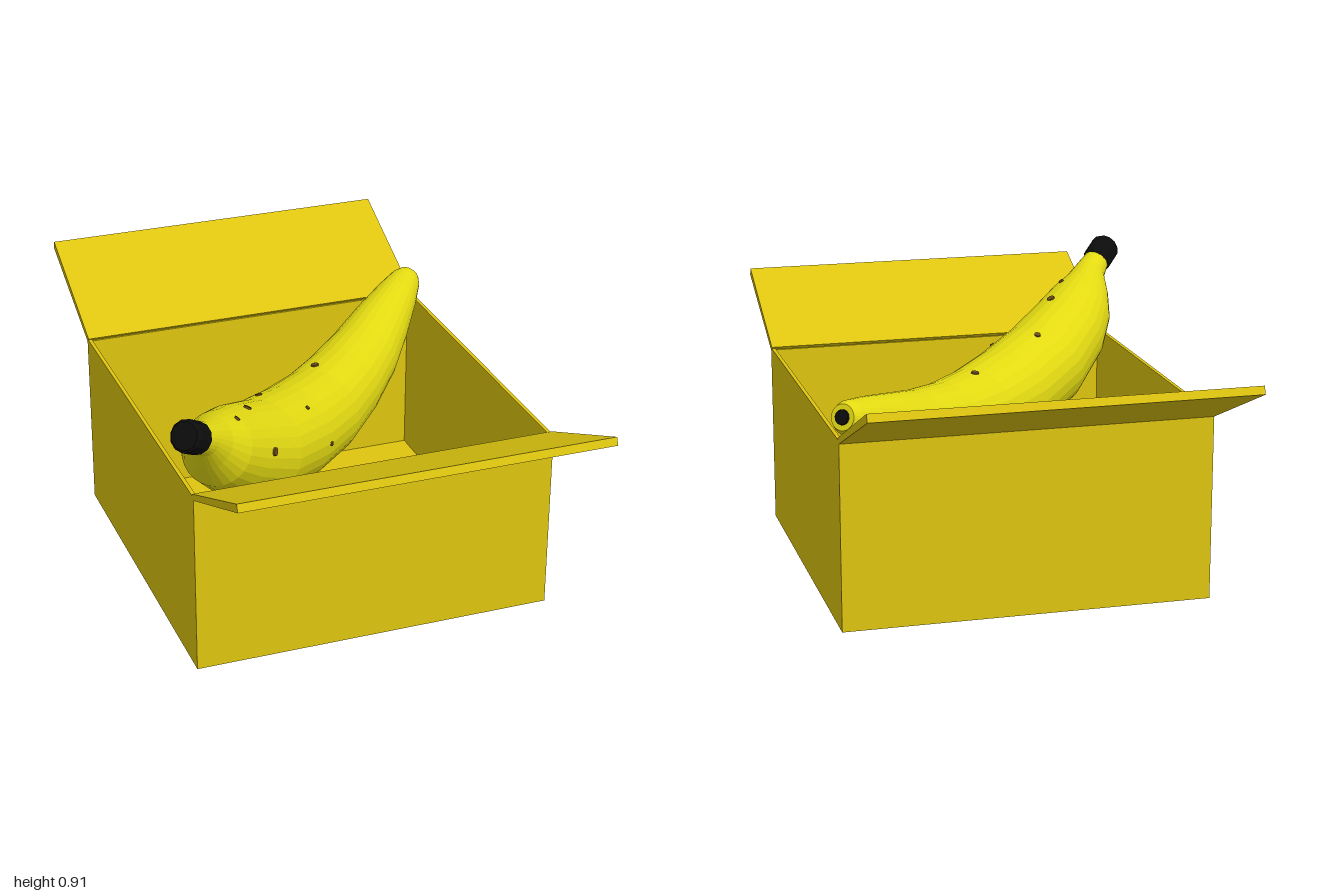
import * as THREE from 'three';

const mat = (name, color) => {
  const m = new THREE.MeshStandardMaterial({ color });
  m.name = name;
  return m;
};

// Faceted tube through rings [x, y, z, radius], closed at both ends
const SIDE = new THREE.Vector3(1, 0, 1).normalize();

function ringFrames(rings) {
  const c = rings.map(r => new THREE.Vector3(r[0], r[1], r[2]));
  return rings.map((r, i) => {
    const t = c[Math.min(i + 1, c.length - 1)].clone().sub(c[Math.max(i - 1, 0)]).normalize();
    return { center: c[i], radius: r[3], up: SIDE.clone().cross(t).normalize() };
  });
}

const radial = (f, a) =>
  SIDE.clone().multiplyScalar(Math.cos(a)).addScaledVector(f.up, Math.sin(a));
const surfacePoint = (f, a) => radial(f, a).multiplyScalar(f.radius).add(f.center);

function loft(frames, sides) {
  const pos = [];
  const tri = (...pts) => pts.forEach(p => pos.push(p.x, p.y, p.z));
  const first = frames[0], last = frames[frames.length - 1];
  for (let j = 0; j < sides; j++) {
    const a0 = (j / sides) * Math.PI * 2, a1 = ((j + 1) / sides) * Math.PI * 2;
    for (let i = 0; i < frames.length - 1; i++) {
      const a = surfacePoint(frames[i], a0), b = surfacePoint(frames[i + 1], a0);
      const c = surfacePoint(frames[i], a1), d = surfacePoint(frames[i + 1], a1);
      tri(a, b, c);
      tri(b, d, c);
    }
    tri(first.center, surfacePoint(first, a0), surfacePoint(first, a1));
    tri(last.center, surfacePoint(last, a1), surfacePoint(last, a0));
  }
  const g = new THREE.BufferGeometry();
  g.setAttribute('position', new THREE.Float32BufferAttribute(pos, 3));
  g.computeVertexNormals();
  return g;
}

export function createModel() {
  const cardboard = mat('box yellow', 0xdec50f);
  const peel = mat('banana yellow', 0xe3da12);
  const black = mat('stem black', 0x0c0c0c);
  const brown = mat('spot brown', 0x6b4a1a);

  const model = new THREE.Group();
  const add = (parent, name, geometry, material, x = 0, y = 0, z = 0) => {
    const m = new THREE.Mesh(geometry, material);
    m.name = name;
    m.position.set(x, y, z);
    parent.add(m);
    return m;
  };

  // Open box, slightly off centre in x
  const box = new THREE.Group();
  box.name = 'openBox';
  box.position.x = 0.035;
  model.add(box);
  const W = 1.17, D = 1.17, H = 0.6, T = 0.012;
  add(box, 'floor', new THREE.BoxGeometry(W, T, D), cardboard, 0, T / 2, 0);

  // Hinged flap cross-section, in z and y
  const flapShape = new THREE.Shape([
    new THREE.Vector2(0.57, 0.605), new THREE.Vector2(0.585, 0.59),
    new THREE.Vector2(1.0, 0.768), new THREE.Vector2(0.99, 0.792),
  ]);
  const flapGeo = new THREE.ExtrudeGeometry(flapShape, { depth: W, bevelEnabled: false });
  flapGeo.translate(0, 0, -W / 2);
  flapGeo.rotateY(-Math.PI / 2);

  for (const s of [1, -1]) {
    add(box, s > 0 ? 'leftWall' : 'rightWall',
      new THREE.BoxGeometry(T, H - T, D), cardboard, s * (W - T) / 2, (H + T) / 2, 0);
    add(box, s > 0 ? 'frontWall' : 'backWall',
      new THREE.BoxGeometry(W - 2 * T, H - T - 0.005, T), cardboard, 0, (H + T - 0.005) / 2, s * (D - T) / 2);
    const flap = add(box, s > 0 ? 'frontFlap' : 'backFlap', flapGeo, cardboard);
    if (s < 0) flap.rotation.y = Math.PI;
  }

  // Banana lying across the box diagonal
  const banana = new THREE.Group();
  banana.name = 'banana';
  model.add(banana);
  const frames = ringFrames([
    [-0.56, 0.833, 0.65, 0.042],
    [-0.52, 0.80, 0.605, 0.052],
    [-0.49, 0.755, 0.55, 0.08],
    [-0.445, 0.70, 0.49, 0.115],
    [-0.375, 0.64, 0.405, 0.138],
    [-0.25, 0.56, 0.285, 0.155],
    [-0.09, 0.51, 0.13, 0.157],
    [0.06, 0.49, -0.015, 0.15],
    [0.20, 0.50, -0.155, 0.137],
    [0.33, 0.535, -0.285, 0.12],
    [0.43, 0.58, -0.39, 0.10],
    [0.53, 0.63, -0.49, 0.073],
    [0.585, 0.658, -0.545, 0.053],
    [0.603, 0.665, -0.563, 0.04],
  ]);
  add(banana, 'peel', loft(frames, 28), peel);
  add(banana, 'stemCap', loft(ringFrames([
    [-0.607, 0.87, 0.697, 0.042],
    [-0.60, 0.865, 0.69, 0.05],
    [-0.555, 0.829, 0.645, 0.05],
    [-0.545, 0.821, 0.635, 0.042],
  ]), 12), black);
  add(banana, 'blossomTip', loft(ringFrames([
    [0.598, 0.663, -0.558, 0.025],
    [0.608, 0.667, -0.568, 0.023],
  ]), 12), black);

  // Ripe spots: ring position along the banana, angle around it, radius
  const spots = [
    [7.2, 1.74, 0.013], [5.3, 1.86, 0.011], [4, 1.35, 0.013], [2.8, 1.1, 0.009],
    [4.1, 0.15, 0.014], [5.6, 0.9, 0.007], [5.95, 0, 0.007],
  ];
  for (const [u, a, r] of spots) {
    const i = Math.floor(u), f = frames[i], g = frames[i + 1];
    const p = surfacePoint(f, a).lerp(surfacePoint(g, a), u - i);
    const n = radial(f, a).lerp(radial(g, a), u - i).normalize();
    const spot = add(banana, 'spot', new THREE.CylinderGeometry(r, r, 0.008, 8), brown, p.x, p.y, p.z);
    spot.quaternion.setFromUnitVectors(new THREE.Vector3(0, 1, 0), n);
  }

  return model;
}
